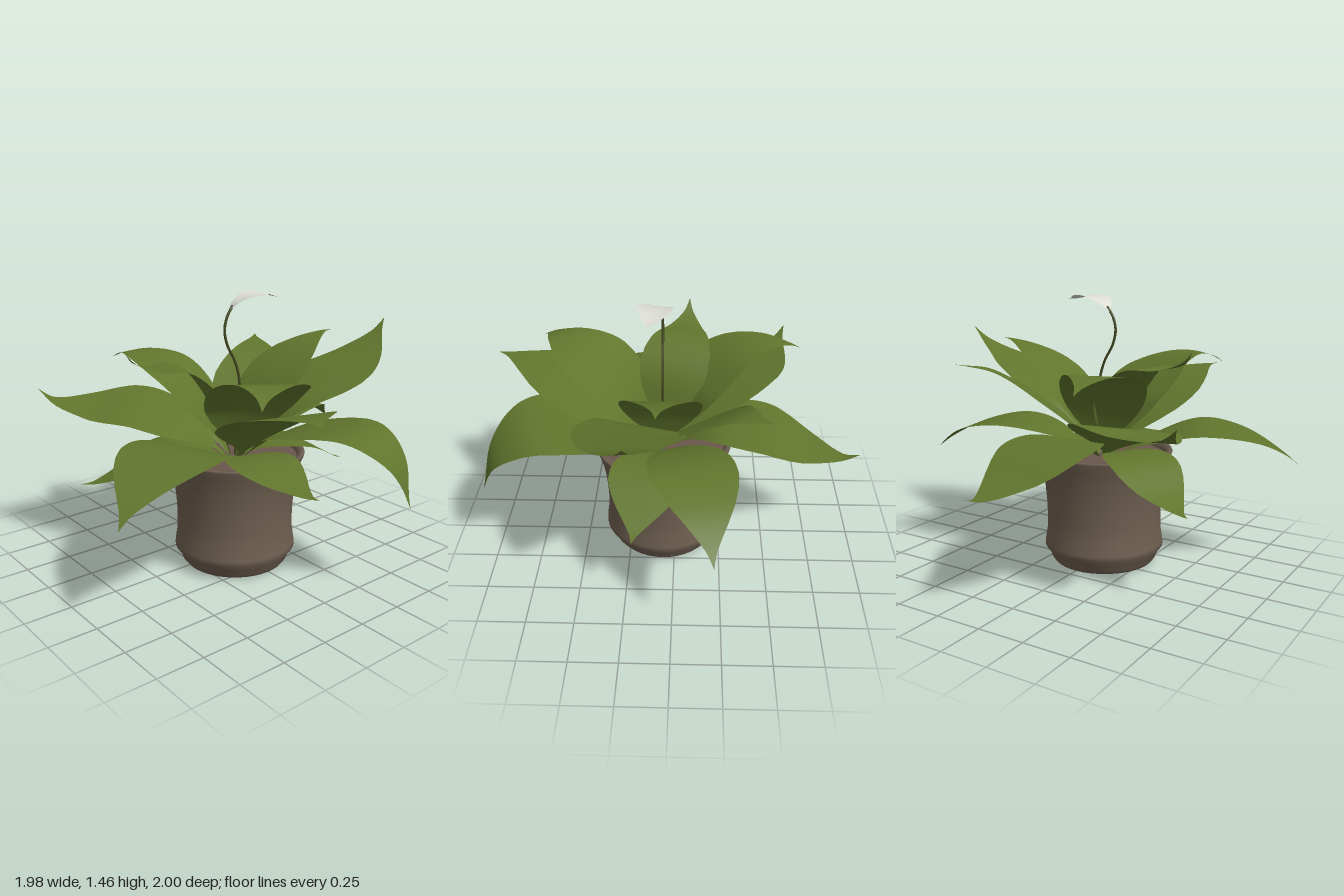
import * as THREE from 'three';

const mat = (name, color, side = THREE.FrontSide) => {
  const m = new THREE.MeshStandardMaterial({ color, side });
  m.name = name;
  return m;
};

// Linear interpolation in a list of [position, value] pairs
function ramp(keys, t) {
  for (let i = 1; i < keys.length; i++) {
    const [a, va] = keys[i - 1], [b, vb] = keys[i];
    if (t <= b) return va + (vb - va) * (t - a) / (b - a);
  }
  return keys[keys.length - 1][1];
}

// Half-width along a blade: thin stalk, broad middle, drawn-out tip
const bladeWidth = [[0, 0.04], [0.08, 0.07], [0.14, 0.25], [0.2, 0.49], [0.27, 0.73], [0.35, 0.91], [0.42, 0.98],
  [0.48, 1], [0.56, 0.97], [0.64, 0.85], [0.72, 0.68], [0.8, 0.46], [0.87, 0.26], [0.93, 0.1], [0.97, 0.04], [1, 0]];
const petalWidth = [[0, 0.08], [0.1, 0.35], [0.25, 0.72], [0.4, 0.95], [0.5, 1], [0.6, 0.93], [0.75, 0.62],
  [0.88, 0.28], [1, 0]];

// Bends a plane along a spine; roll lifts one side, cup lifts both
function blade(spine, halfWidth, widths, roll, cup) {
  const geo = new THREE.PlaneGeometry(1, 1, 8, 36);
  const pos = geo.attributes.position;
  for (let i = 0; i < pos.count; i++) {
    const s = pos.getX(i) * 2, t = THREE.MathUtils.clamp(pos.getY(i) + 0.5, 0, 1);
    const p = spine.getPointAt(t), d = spine.getTangentAt(t);
    const len = Math.hypot(d.x, d.z) || 1;
    const w = halfWidth * ramp(widths, t);
    pos.setXYZ(i, p.x - d.z / len * w * s, p.y + (roll * s + cup * s * s) * w, p.z + d.x / len * w * s);
  }
  geo.computeVertexNormals();
  return geo;
}

const CX = -0.02, CZ = 0.065;

// Leaves: tip, half-width, heights at the four stations, sideways bend, roll
const stations = [0.25, 0.5, 0.75, 0.92];
const leaves = [
  [[0.07, 0.60, -1.00], 0.26, [0.73, 0.73, 0.62, 0.575], -0.025],
  [[0.57, 1.11, -0.47], 0.21, [0.80, 0.95, 1.07, 1.10], 0.03],
  [[0.95, 0.575, -0.20], 0.22, [0.72, 0.775, 0.73, 0.64], -0.03],
  [[0.99, 1.25, 0.19], 0.27, [0.87, 0.98, 1.07, 1.17], 0.09],
  [[0.68, 1.20, 0.07], 0.21, [0.91, 1.08, 1.17, 1.20], 0],
  [[0.67, 0.47, 0.20], 0.20, [0.65, 0.645, 0.56, 0.49], 0],
  [[0.30, 0.51, 1.00], 0.28, [0.75, 0.83, 0.84, 0.72], 0, 0.06],
  [[-0.28, 1.02, 0.98], 0.29, [0.80, 0.93, 1.0, 1.02], -0.03],
  [[-0.42, 1.06, 0.74], 0.26, [0.91, 1.065, 1.125, 1.10], -0.07],
  [[-0.13, 0.605, 0.82], 0.18, [0.66, 0.675, 0.63, 0.60], 0.05],
  [[-0.99, 0.57, 0.47], 0.27, [0.70, 0.775, 0.735, 0.64], 0.03],
  [[-0.60, 1.21, -0.07], 0.19, [0.97, 1.10, 1.11, 1.15], 0.02],
  [[-0.73, 0.47, -0.36], 0.19, [0.66, 0.65, 0.53, 0.475], 0],
  [[-0.80, 0.95, -0.64], 0.27, [0.75, 0.85, 0.85, 0.88], 0.05, 0.15],
  [[-0.31, 1.05, -0.68], 0.22, [0.91, 1.07, 1.11, 1.08], -0.05],
];

function leafSpine([x, y, z], heights, bend) {
  const dx = x - CX, dz = z - CZ, len = Math.hypot(dx, dz);
  const at = (f, h) => {
    const b = bend * Math.sin(Math.PI * f);
    return new THREE.Vector3(CX + dx * f - dz / len * b, h, CZ + dz * f + dx / len * b);
  };
  return new THREE.CatmullRomCurve3([at(0.03, 0.58), ...stations.map((f, i) => at(f, heights[i])), at(1, y)]);
}

export function createModel() {
  const green = mat('leaf green', 0x61752d, THREE.DoubleSide);
  const stemGreen = mat('stem green', 0x444b22);
  const white = mat('petal white', 0xdcdcd5, THREE.DoubleSide);
  const clay = mat('pot brown', 0x6e5f50);
  const earth = mat('soil brown', 0x6a574c);

  const model = new THREE.Group();
  model.name = 'pottedPlant';
  const add = (name, geo, material) => {
    const mesh = new THREE.Mesh(geo, material);
    mesh.name = name;
    model.add(mesh);
    return mesh;
  };

  // Pot: closed foot, bulge, flared wall, rim and inner wall
  const profile = [[0, 0], [0.25, 0], [0.275, 0.008], [0.292, 0.03], [0.302, 0.06], [0.328, 0.095], [0.326, 0.12],
    [0.315, 0.19], [0.313, 0.26], [0.316, 0.34], [0.324, 0.43], [0.338, 0.51], [0.356, 0.58], [0.374, 0.625],
    [0.37, 0.635], [0.35, 0.635], [0.335, 0.61], [0.325, 0.56]].map(([r, y]) => new THREE.Vector2(r, y));
  add('pot', new THREE.LatheGeometry(profile, 40), clay).position.set(CX, 0, CZ);

  // Soil
  const soil = add('soil', new THREE.CircleGeometry(0.335, 40), earth);
  soil.rotation.x = -Math.PI / 2;
  soil.position.set(CX, 0.6, CZ);

  // Leaves
  leaves.forEach(([tip, half, heights, bend, roll = 0]) =>
    add('leaf', blade(leafSpine(tip, heights, bend), half, bladeWidth, roll, 0), green));

  // Flower stem
  const stemPath = new THREE.CatmullRomCurve3([[-0.02, 0.57], [0.0, 0.8], [0.01, 1.0], [-0.02, 1.11], [-0.07, 1.2],
    [-0.088, 1.28], [-0.07, 1.35], [-0.035, 1.4]].map(([x, y]) => new THREE.Vector3(x, y, CZ)));
  add('flowerStem', new THREE.TubeGeometry(stemPath, 40, 0.007, 8), stemGreen);

  // Hooded white petal
  const petalSpine = new THREE.CatmullRomCurve3([[-0.055, 1.375, 0.06], [-0.02, 1.415, 0.07], [0.05, 1.445, 0.09],
    [0.13, 1.45, 0.1], [0.19, 1.435, 0.115], [0.25, 1.43, 0.13]].map((p) => new THREE.Vector3(...p)));
  add('flowerPetal', blade(petalSpine, 0.09, petalWidth, 0, 0.08), white);

  return model;
}
